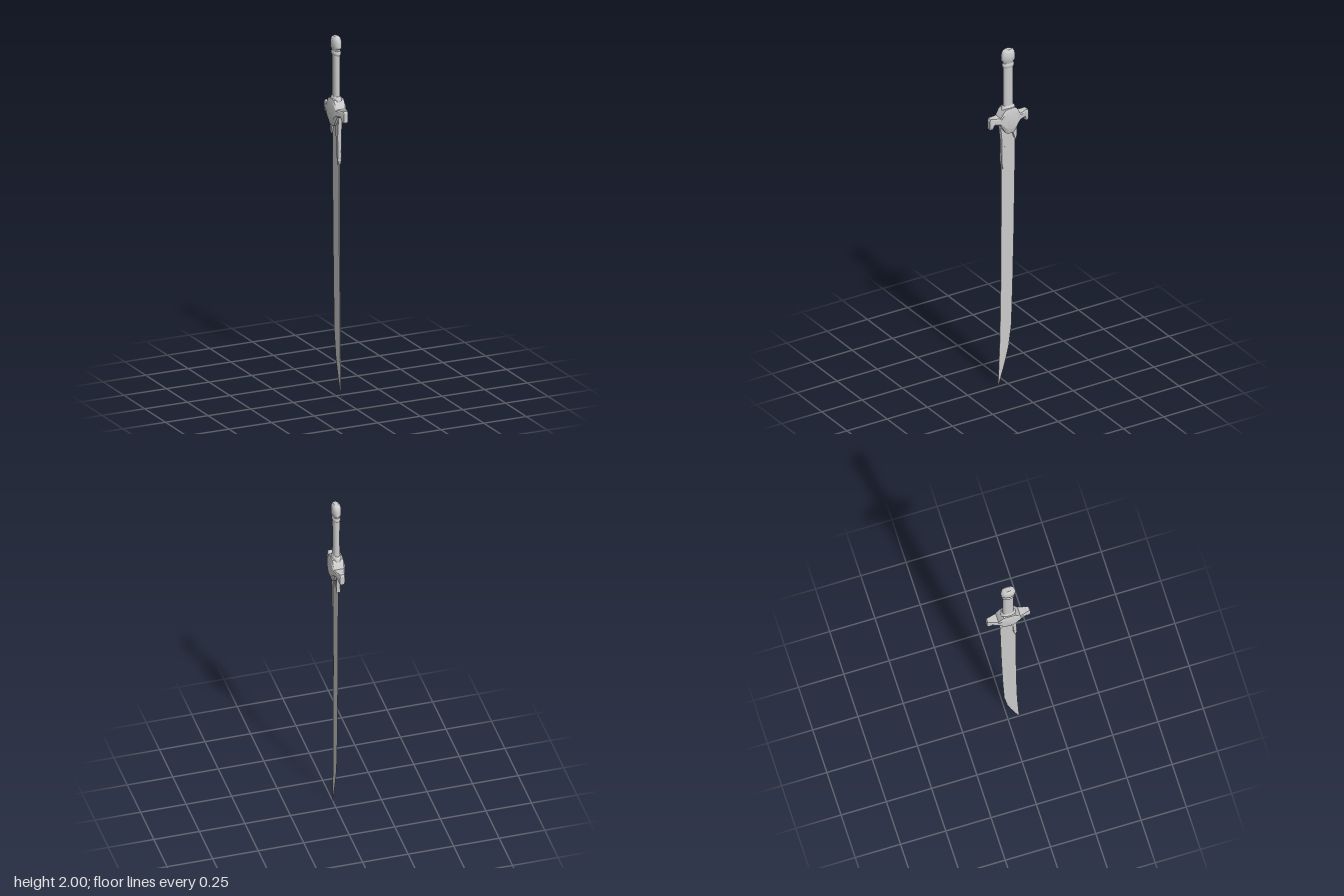
import * as THREE from 'three';
import { toCreasedNormals } from 'three/addons/utils/BufferGeometryUtils.js';

const steel = new THREE.MeshStandardMaterial({ color: 0xcccccc });

function add(group, name, geometry, crease = 0.5) {
  const mesh = new THREE.Mesh(toCreasedNormals(geometry, crease), steel);
  mesh.name = name;
  group.add(mesh);
  return mesh;
}

// Skin through closed rings of [x, y, z], each counterclockwise seen along the path
function loft(rings) {
  const n = rings[0].length, last = (rings.length - 1) * n, index = [];
  for (let i = 0; i < last; i += n) {
    for (let j = 0; j < n; j++) {
      const k = (j + 1) % n;
      index.push(i + j, i + k, i + n + k, i + j, i + n + k, i + n + j);
    }
  }
  for (let j = 1; j < n - 1; j++) index.push(0, j + 1, j, last, last + j, last + j + 1);
  const g = new THREE.BufferGeometry();
  g.setAttribute('position', new THREE.Float32BufferAttribute(rings.flat(2), 3));
  g.setIndex(index);
  return g;
}

export function createModel() {
  const sword = new THREE.Group();
  sword.name = 'sword';

  // Blade: [height, spine z, cutting edge z, half thickness]
  const blade = [
    [0, 0.063, 0.061, 0.0006], [0.05, 0.06, 0.045, 0.0015], [0.1, 0.058, 0.029, 0.002],
    [0.16, 0.056, 0.012, 0.0025], [0.23, 0.053, -0.005, 0.003], [0.35, 0.05, -0.021, 0.0035],
    [0.6, 0.046, -0.029, 0.004], [0.9, 0.044, -0.036, 0.005], [1.2, 0.043, -0.041, 0.006],
    [1.56, 0.042, -0.046, 0.008],
  ].map(([y, spine, edge, h]) => {
    const ridge = spine + (edge - spine) * 0.2;
    return [[-h * 0.6, y, spine], [h * 0.6, y, spine], [h, y, ridge], [0, y, edge], [-h, y, ridge]];
  });
  add(sword, 'blade', loft(blade), 0.3);

  // Langet: two prongs gripping the blade, the longer on the spine side
  const outline = [
    [0.053, 1.57], [0.05, 1.53], [0.043, 1.46], [0.045, 1.34], [0.038, 1.3], [0.029, 1.35],
    [0.027, 1.43], [0.012, 1.47], [0.006, 1.52], [-0.02, 1.52], [-0.034, 1.47], [-0.046, 1.45],
    [-0.049, 1.5], [-0.053, 1.57],
  ].map(p => new THREE.Vector2(...p)).reverse();
  const langet = new THREE.ExtrudeGeometry(new THREE.Shape(outline), {
    depth: 0.016, bevelEnabled: true, bevelThickness: 0.003, bevelSize: 0.002, bevelSegments: 1,
  });
  langet.translate(0, 0, -0.008).rotateY(-Math.PI / 2);
  add(sword, 'langet', langet, 0.3);

  // Guard: half profile from arm tip to centre [z, bottom, top, half width], mirrored
  const half = [
    [0.12, 1.552, 1.602, 0.013], [0.115, 1.549, 1.614, 0.015], [0.1, 1.553, 1.615, 0.019],
    [0.094, 1.572, 1.612, 0.021], [0.06, 1.568, 1.61, 0.031], [0.045, 1.542, 1.638, 0.035],
    [0.032, 1.52, 1.654, 0.036], [0.018, 1.508, 1.657, 0.037],
  ];
  const stations = [...half.map(([z, ...s]) => [-z, ...s]), ...half.slice().reverse()];
  const guard = stations.map(([z, b, t, w]) => {
    const top = w * 0.82, low = w * 0.7, cut = (t - b) * 0.16, rise = (t - b) * 0.22;
    return [[low, b, z], [w, b + rise, z], [w, t - cut, z], [top, t, z],
      [-top, t, z], [-w, t - cut, z], [-w, b + rise, z], [-low, b, z]];
  });
  add(sword, 'guard', loft(guard), 0.35);

  // Oval turned parts: [radius along z, height]
  const turned = (name, profile) => {
    const points = profile.map(p => new THREE.Vector2(...p));
    add(sword, name, new THREE.LatheGeometry(points, 24).scale(0.64, 1, 1), 0.6);
  };
  turned('collar', [[0, 1.635], [0.042, 1.635], [0.042, 1.652], [0.036, 1.664], [0.03, 1.67], [0, 1.67]]);
  turned('grip', [[0, 1.65], [0.03, 1.65], [0.029, 1.78], [0.03, 1.905], [0, 1.905]]);
  turned('pommelRing', [[0, 1.896], [0.031, 1.896], [0.036, 1.904], [0.036, 1.914], [0.031, 1.922], [0, 1.922]]);
  turned('pommel', [[0, 1.918], [0.031, 1.918], [0.033, 1.93], [0.04, 1.938], [0.041, 1.962],
    [0.038, 1.982], [0.031, 1.994], [0.02, 2], [0, 2]]);

  return sword;
}
